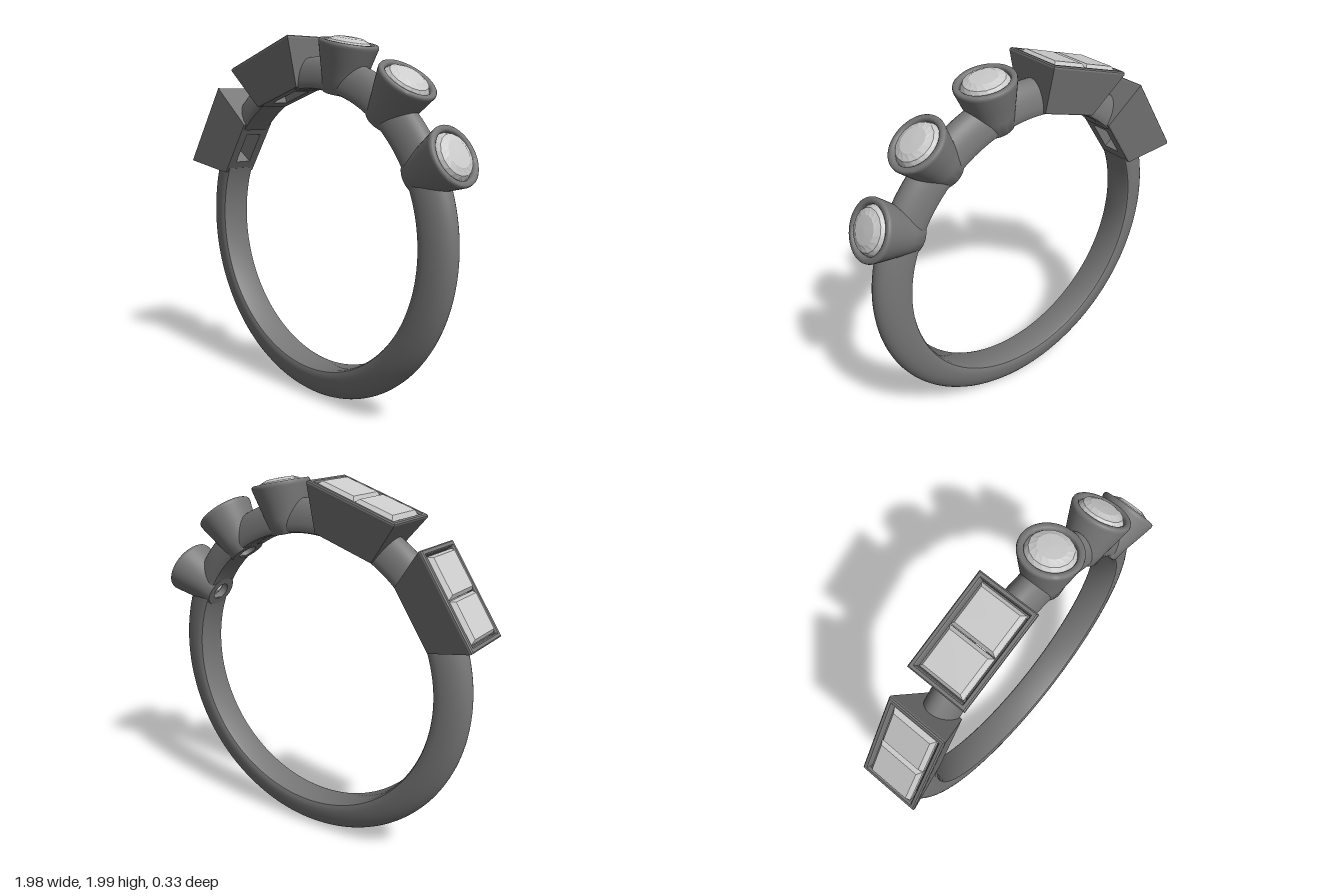
import * as THREE from 'three';
import { toCreasedNormals } from 'three/addons/utils/BufferGeometryUtils.js';

const metal = new THREE.MeshStandardMaterial({ color: 0x777777 });
const stone = new THREE.MeshStandardMaterial({ color: 0xcccccc, flatShading: true });
const CENTRE = 0.945; // height of the ring's axis
const rad = THREE.MathUtils.degToRad;

// Settings: angle from the top towards +x, and half-angle of the band left open
const settings = [
  { angle: -56.7, gap: 10.5, type: 'box' },
  { angle: -18.3, gap: 10.5, type: 'box' },
  { angle: 12.5, gap: 3.5, type: 'round' },
  { angle: 37.5, gap: 3.5, type: 'round' },
  { angle: 63, gap: 3.5, type: 'round' },
];

function mesh(name, geometry, material) {
  const m = new THREE.Mesh(geometry, material);
  m.name = name;
  return m;
}

// Rectangular cross-sections [halfX, y, halfZ] joined in order
function rectLoft(rows) {
  const corners = [[1, 1], [1, -1], [-1, -1], [-1, 1]];
  const pos = [];
  const put = (row, k) => {
    const [sx, sz] = corners[k % 4];
    pos.push(row[0] * sx, row[1], row[2] * sz);
  };
  for (let i = 0; i < rows.length - 1; i++) {
    const a = rows[i], b = rows[i + 1];
    for (let k = 0; k < 4; k++) {
      put(a, k); put(a, k + 1); put(b, k + 1);
      put(a, k); put(b, k + 1); put(b, k);
    }
  }
  const g = new THREE.BufferGeometry();
  g.setAttribute('position', new THREE.Float32BufferAttribute(pos, 3));
  g.computeVertexNormals();
  return g;
}

function lathe(points, segments, start = 0, length = Math.PI * 2) {
  return new THREE.LatheGeometry(points.map(p => new THREE.Vector2(...p)), segments, start, length);
}

// D-shaped band, interrupted inside each setting
function makeBand() {
  const profile = [[0.767, -0.072], [0.773, -0.084]];
  for (let i = 0; i <= 20; i++) {
    const t = -Math.PI / 2 + (i / 20) * Math.PI;
    profile.push([0.79 + 0.15 * Math.cos(t), 0.09 * Math.sin(t)]);
  }
  profile.push([0.773, 0.084], [0.767, 0.072], [0.767, -0.072]);
  const band = new THREE.Group();
  band.name = 'band';
  settings.forEach((s, i) => {
    const next = settings[(i + 1) % settings.length];
    const from = s.angle + s.gap;
    const to = next.angle - next.gap + (i === settings.length - 1 ? 360 : 0);
    const g = lathe(profile, Math.ceil((to - from) / 2.5), Math.PI - rad(to), rad(to - from));
    g.rotateX(Math.PI / 2);
    band.add(mesh('bandArc', toCreasedNormals(g, rad(40)), metal));
  });
  band.position.y = CENTRE;
  return band;
}

// Flared box holding two step-cut stones, open underneath
function makeBoxSetting() {
  const group = new THREE.Group();
  group.name = 'boxSetting';
  const shell = rectLoft([
    [0.1, 0.762, 0.05], [0.174, 0.762, 0.1], [0.178, 0.768, 0.104],
    [0.262, 1.004, 0.165], [0.262, 1.013, 0.164], [0.256, 1.019, 0.158],
    [0.241, 1.019, 0.143], [0.236, 1.012, 0.138], [0.233, 0.975, 0.135],
    [0.1, 0.9, 0.05], [0.1, 0.762, 0.05],
  ]);
  group.add(mesh('boxShell', shell, metal));
  for (const side of [-1, 1]) {
    const gem = mesh('rectangularStone', rectLoft([
      [0, 0.9, 0], [0.04, 0.91, 0.05], [0.09, 0.965, 0.1], [0.112, 0.99, 0.126],
      [0.112, 1.008, 0.126], [0.096, 1.03, 0.108], [0, 1.03, 0],
    ]), stone);
    gem.position.x = side * 0.114;
    group.add(gem);
  }
  return group;
}

// Flared cup holding one brilliant-cut stone, with a round hole underneath
function makeRoundSetting() {
  const group = new THREE.Group();
  group.name = 'roundSetting';
  const cup = lathe([
    [0.052, 0.762], [0.094, 0.762], [0.1, 0.768], [0.113, 0.84], [0.134, 0.92],
    [0.155, 1.005], [0.157, 1.015], [0.155, 1.025], [0.149, 1.03],
    [0.132, 1.03], [0.126, 1.026], [0.123, 1.018], [0.118, 0.97],
    [0.052, 0.87], [0.052, 0.762],
  ], 48);
  group.add(mesh('cup', toCreasedNormals(cup, rad(40)), metal));
  const gem = lathe([
    [0, 0.775], [0.05, 0.8], [0.05, 0.87], [0.116, 0.98], [0.124, 1.008],
    [0.106, 1.036], [0.072, 1.05], [0, 1.053],
  ], 16);
  // Stagger the crown rows to give triangular facets
  const p = gem.attributes.position;
  for (let i = 0; i < p.count; i++) {
    if (i % 8 !== 5) continue;
    const x = p.getX(i), z = p.getZ(i), c = Math.cos(Math.PI / 16), s = Math.sin(Math.PI / 16);
    p.setXYZ(i, x * c + z * s, p.getY(i), z * c - x * s);
  }
  group.add(mesh('roundStone', gem, stone));
  return group;
}

export function createModel() {
  const model = new THREE.Group();
  model.name = 'ring';
  model.add(makeBand());
  for (const s of settings) {
    const setting = s.type === 'box' ? makeBoxSetting() : makeRoundSetting();
    setting.position.y = CENTRE;
    setting.rotation.z = -rad(s.angle);
    model.add(setting);
  }
  return model;
}
